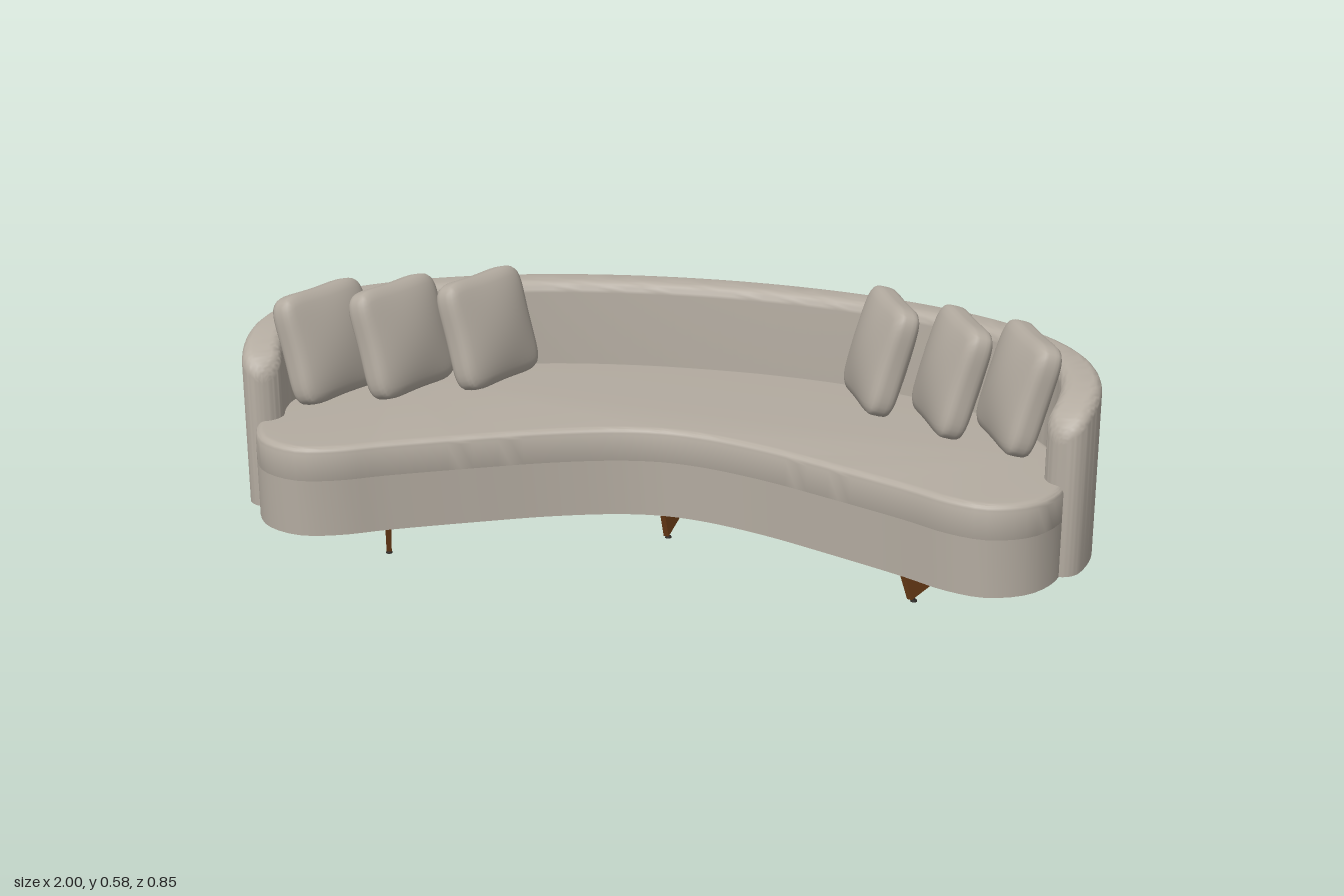
import * as THREE from 'three';
import { mergeVertices, toCreasedNormals } from 'three/addons/utils/BufferGeometryUtils.js';

const BASE = 0.085; // underside of the upholstery

// Seat: kidney-shaped plan, sharp at the bottom and rolled at the top edge
function seatOutline() {
  const half = [[0.1, 0.135], [0.25, 0.183], [0.42, 0.26], [0.6, 0.348], [0.7, 0.403], [0.79, 0.423],
    [0.88, 0.385], [0.932, 0.3], [0.94, 0.21], [0.915, 0.08], [0.8, -0.1], [0.62, -0.22], [0.4, -0.3], [0.2, -0.335]];
  const v = ([x, z]) => new THREE.Vector3(x, -z, 0);
  const right = half.map(v);
  const left = half.slice().reverse().map(([x, z]) => v([-x, z]));
  const curve = new THREE.CatmullRomCurve3([v([0, 0.123]), ...right, v([0, -0.345]), ...left], true);
  return new THREE.Shape(curve.getSpacedPoints(160).slice(0, -1).map(p => new THREE.Vector2(p.x, p.y)));
}

function extrudeUp(shape, y, options) {
  const g = new THREE.ExtrudeGeometry(shape, options);
  g.rotateX(-Math.PI / 2);
  g.translate(0, y, 0);
  return toCreasedNormals(g, 0.6);
}

// Backrest: rounded wall swept along an ellipse, dropping and closing at both ends
function backrestGeometry() {
  const rings = 140, arc = 6, maxAngle = 1.85, half = 0.046;
  const pos = [], index = [];
  const count = 2 * (arc + 1) + 2;
  for (let i = 0; i <= rings; i++) {
    const t = maxAngle * Math.sin((i / rings - 0.5) * Math.PI);
    const cx = 0.955 * Math.sin(t), cz = 0.13 - 0.508 * Math.cos(t);
    const n = new THREE.Vector2(0.508 * Math.sin(t), -0.955 * Math.cos(t)).normalize();
    const end = Math.min(1, (maxAngle - Math.abs(t)) * 0.52 / half);
    const w = half * Math.sqrt(Math.max(0, 1 - (1 - end) ** 2));
    const q = Math.min(1, 1 - (0.27 - cz) / 0.69);
    const top = 0.38 + 0.133 * Math.pow(Math.max(0, 1 - q ** 4), 0.33);
    const r = Math.min(0.028, w);
    const section = [[-w, BASE]];
    for (const side of [-1, 1]) {
      for (let k = 0; k <= arc; k++) {
        const a = (side < 0 ? k : arc - k) / arc * Math.PI / 2;
        section.push([side * (w - r + r * Math.cos(a)), top - r + r * Math.sin(a)]);
      }
    }
    section.push([w, BASE]);
    for (const [s, y] of section) pos.push(cx + n.x * s, y, cz + n.y * s);
  }
  for (let i = 0; i < rings; i++) {
    for (let j = 0; j < count; j++) {
      const k = (j + 1) % count;
      const a = i * count + j, b = a + count, c = i * count + k, d = c + count;
      index.push(a, b, c, b, d, c);
    }
  }
  const g = new THREE.BufferGeometry();
  g.setAttribute('position', new THREE.Float32BufferAttribute(pos, 3));
  g.setIndex(index);
  return toCreasedNormals(g, 0.7);
}

// Pillow: box rounded into a soft square that is fuller in the middle
function pillowGeometry() {
  let g = new THREE.BoxGeometry(2, 2, 2, 16, 16, 8);
  g.deleteAttribute('uv');
  g.deleteAttribute('normal');
  g = mergeVertices(g);
  const p = g.attributes.position, power = 5;
  for (let i = 0; i < p.count; i++) {
    const x = p.getX(i), y = p.getY(i), z = p.getZ(i);
    const m = Math.pow(Math.abs(x) ** power + Math.abs(y) ** power + Math.abs(z) ** power, -1 / power);
    const u = x * m, v = y * m;
    const full = 0.62 + 0.38 * Math.cos(u * Math.PI / 2) * Math.cos(v * Math.PI / 2);
    // sides draw in slightly between the corners
    p.setXYZ(i, u * 0.138 * (0.95 + 0.07 * v * v), v * 0.138 * (0.95 + 0.07 * u * u), z * m * 0.056 * full);
  }
  g.computeVertexNormals();
  return g;
}

// Leg plank: trapezoid panel narrowing toward the floor
function plankGeometry() {
  const shape = new THREE.Shape([[-0.222, 0.012], [0.222, 0.012], [0.262, 0.087], [-0.262, 0.087]]
    .map(([x, y]) => new THREE.Vector2(x, y)));
  const g = new THREE.ExtrudeGeometry(shape, { depth: 0.012, bevelEnabled: false });
  g.translate(0, 0, -0.006);
  return g;
}

export function createModel() {
  const model = new THREE.Group();
  const material = (name, color) => {
    const m = new THREE.MeshStandardMaterial({ color });
    m.name = name;
    return m;
  };
  const fabric = material('taupe fabric', 0xb3aba0);
  const wood = material('brown wood', 0x80491d);
  const metal = material('dark metal', 0x2e2a27);
  const add = (parent, name, geometry, mat) => {
    const mesh = new THREE.Mesh(geometry, mat);
    mesh.name = name;
    parent.add(mesh);
    return mesh;
  };

  const outline = seatOutline();
  add(model, 'seatBase', extrudeUp(outline, BASE, { depth: 0.22 - BASE, bevelEnabled: false }), fabric);
  add(model, 'seatCushion', extrudeUp(outline, 0.22, {
    depth: 0.062, bevelThickness: 0.018, bevelSize: 0.018, bevelOffset: -0.018, bevelSegments: 5,
  }), fabric);
  add(model, 'backrest', backrestGeometry(), fabric);

  // Three pillows at each end, leaning outward
  const pillow = pillowGeometry();
  const places = [[0.812, 0.06], [0.652, -0.02], [0.472, -0.135], [-0.825, 0.085], [-0.665, 0.01], [-0.483, -0.1]];
  for (const [x, z] of places) {
    const mesh = add(model, x > 0 ? 'leftPillow' : 'rightPillow', pillow, fabric);
    mesh.position.set(x, 0.446, z);
    mesh.rotation.set(-0.28, -Math.sign(x) * 1.16, 0, 'YXZ');
  }

  // Plank legs fanning out under the seat, each on two small glides
  const plank = plankGeometry();
  const stem = new THREE.CylinderGeometry(0.003, 0.003, 0.01, 10);
  const disc = new THREE.CylinderGeometry(0.007, 0.008, 0.004, 16);
  const legs = [['centreLeg', 0, -0.15, 0, 1], ['leftLeg', 0.687, 0.0975, -0.175, 0.495], ['rightLeg', -0.687, 0.0975, 0.175, 0.495]];
  for (const [name, x, z, dx, dz] of legs) {
    const leg = new THREE.Group();
    leg.name = name;
    leg.position.set(x, 0, z);
    leg.rotation.y = Math.atan2(-dz, dx);
    add(leg, 'plank', plank, wood);
    for (const s of [-0.2, 0.2]) {
      add(leg, 'glideStem', stem, metal).position.set(s, 0.008, 0);
      add(leg, 'glideDisc', disc, metal).position.set(s, 0.002, 0);
    }
    model.add(leg);
  }
  return model;
}
